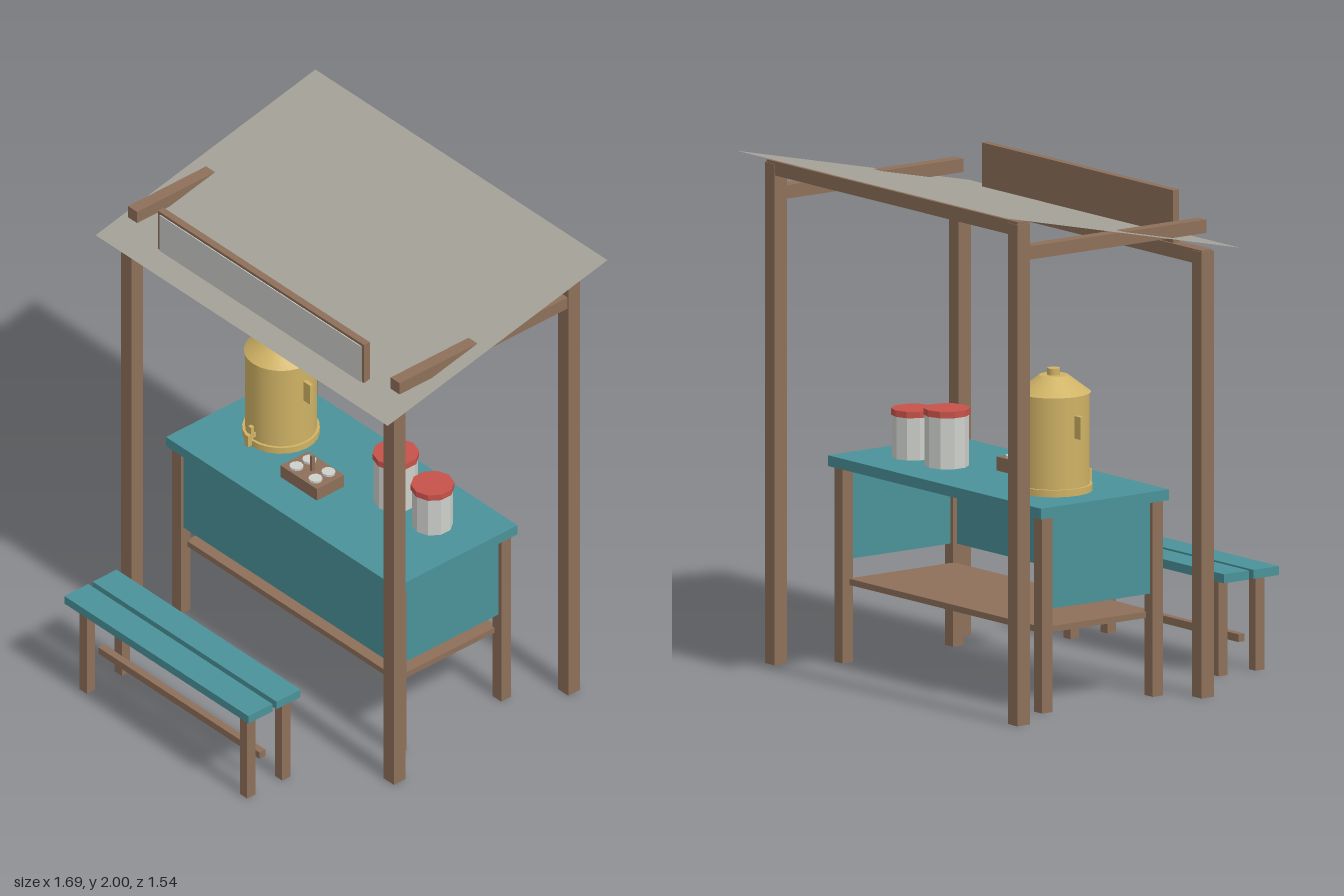
import * as THREE from 'three';

export function createModel() {
  const root = new THREE.Group();
  root.name = 'marketStall';

  const material = (name, color) => {
    const m = new THREE.MeshStandardMaterial({ color });
    m.name = name;
    return m;
  };
  const wood = material('wood', 0x8d7059);
  const teal = material('tealPaint', 0x4a929a);
  const sheet = material('greySheet', 0xa5a199);
  sheet.side = THREE.DoubleSide;
  const brass = material('brass', 0xcfb265);
  const white = material('offWhite', 0xcdcfcb);
  const red = material('redLid', 0xc6524a);

  const group = (name) => {
    const g = new THREE.Group();
    g.name = name;
    root.add(g);
    return g;
  };
  const add = (parent, name, geometry, mat, x, y, z) => {
    const mesh = new THREE.Mesh(geometry, mat);
    mesh.name = name;
    mesh.position.set(x, y, z);
    parent.add(mesh);
    return mesh;
  };
  // box given by its limits on each axis
  const box = (parent, name, mat, [x0, x1], [y0, y1], [z0, z1]) =>
    add(parent, name, new THREE.BoxGeometry(x1 - x0, y1 - y0, z1 - z0), mat,
      (x0 + x1) / 2, (y0 + y1) / 2, (z0 + z1) / 2);
  // upright cylinder standing on y
  const cylinder = (parent, name, mat, rTop, rBottom, h, sides, x, y, z) =>
    add(parent, name, new THREE.CylinderGeometry(rTop, rBottom, h, sides), mat, x, y + h / 2, z);

  // Frame: posts, side rails and cross beams
  const frame = group('frame');
  for (const x of [-0.76, 0.755]) {
    const span = [x - 0.03, x + 0.03];
    box(frame, 'frontPost', wood, span, [0, 1.74], [0.208, 0.268]);
    box(frame, 'backPost', wood, span, [0, 1.955], [-0.683, -0.623]);
    box(frame, 'sideRail', wood, [x - 0.026, x + 0.026], [1.812, 1.864], [-0.65, 0.235]);
  }
  box(frame, 'frontBeam', wood, [-0.785, 0.78], [1.69, 1.745], [0.212, 0.264]);
  box(frame, 'backBeam', wood, [-0.785, 0.78], [1.91, 1.965], [-0.68, -0.62]);

  // Sloping roof sheet
  const rise = 0.25, run = 1.123;
  const roof = add(root, 'roof', new THREE.PlaneGeometry(1.686, Math.hypot(rise, run)), sheet, -0.002, 1.875, -0.2125);
  roof.rotation.x = -Math.PI / 2 + Math.atan2(rise, run);

  // Blank sign board
  const sign = group('signBoard');
  box(sign, 'signBacking', wood, [-0.597, 0.593], [1.745, 1.95], [0.22, 0.25]);
  box(sign, 'signPanel', white, [-0.583, 0.579], [1.765, 1.938], [0.25, 0.254]);

  // Counter, open at the back
  const counter = group('counter');
  box(counter, 'counterTop', teal, [-0.667, 0.662], [0.762, 0.804], [-0.473, 0.147]);
  for (const x of [-0.625, 0.62]) {
    for (const z of [0.105, -0.43])
      box(counter, 'counterLeg', wood, [x - 0.025, x + 0.025], [0, 0.762], [z - 0.025, z + 0.025]);
    box(counter, 'sidePanel', teal, [x - 0.008, x + 0.008], [0.4, 0.762], [-0.405, 0.08]);
  }
  box(counter, 'frontPanel', teal, [-0.6, 0.595], [0.4, 0.762], [0.1, 0.116]);
  box(counter, 'shelf', wood, [-0.61, 0.605], [0.302, 0.326], [-0.42, 0.095]);

  // Drinks urn
  const urn = group('urn');
  const ux = -0.403, uz = -0.207, top = 0.804;
  cylinder(urn, 'urnBase', brass, 0.149, 0.149, 0.027, 24, ux, top, uz);
  cylinder(urn, 'urnBody', brass, 0.138, 0.138, 0.36, 24, ux, top + 0.025, uz);
  cylinder(urn, 'urnLid', brass, 0.056, 0.143, 0.066, 24, ux, 1.188, uz);
  cylinder(urn, 'urnKnob', brass, 0.025, 0.025, 0.026, 12, ux, 1.254, uz);
  for (const s of [-1, 1])
    box(urn, 'urnHandle', brass, [ux + s * 0.158 - 0.019, ux + s * 0.158 + 0.019], [1.027, 1.115], [uz - 0.008, uz + 0.008]);
  box(urn, 'tapBarrel', brass, [ux - 0.01, ux + 0.01], [0.848, 0.868], [-0.08, -0.03]);
  box(urn, 'tapSpout', brass, [ux - 0.01, ux + 0.01], [0.818, 0.85], [-0.05, -0.03]);
  box(urn, 'tapLever', brass, [ux - 0.009, ux + 0.009], [0.866, 0.9], [-0.062, -0.046]);

  // Condiment caddy with four pots and a handle
  const caddy = group('caddy');
  const cx = -0.074, cz = -0.076;
  box(caddy, 'caddyBox', wood, [cx - 0.105, cx + 0.105], [top, 0.858], [cz - 0.07, cz + 0.07]);
  for (const dx of [-0.055, 0.055])
    for (const dz of [-0.033, 0.033])
      cylinder(caddy, 'pot', white, 0.027, 0.027, 0.012, 10, cx + dx, 0.856, cz + dz);
  box(caddy, 'caddyHandle', wood, [cx - 0.007, cx + 0.007], [0.856, 0.928], [cz - 0.007, cz + 0.007]);

  // Faceted jars with lids
  white.flatShading = red.flatShading = true;
  for (const [x, r, lidY] of [[0.228, 0.085, 1.004], [0.44, 0.079, 0.97]]) {
    const jar = group('jar');
    cylinder(jar, 'jarBody', white, r, r, lidY - top, 10, x, top, -0.235);
    cylinder(jar, 'jarLid', red, r + 0.005, r + 0.005, 0.025, 10, x, lidY, -0.235);
  }

  // Bench
  const bench = group('bench');
  for (const z of [0.563, 0.707])
    box(bench, 'benchPlank', teal, [-0.551, 0.511], [0.376, 0.411], [z - 0.061, z + 0.061]);
  for (const x of [-0.465, 0.46])
    for (const z of [0.548, 0.727])
      box(bench, 'benchLeg', wood, [x - 0.021, x + 0.021], [0, 0.376], [z - 0.021, z + 0.021]);
  box(bench, 'stretcher', wood, [-0.485, 0.445], [0.122, 0.152], [0.623, 0.653]);

  return root;
}
